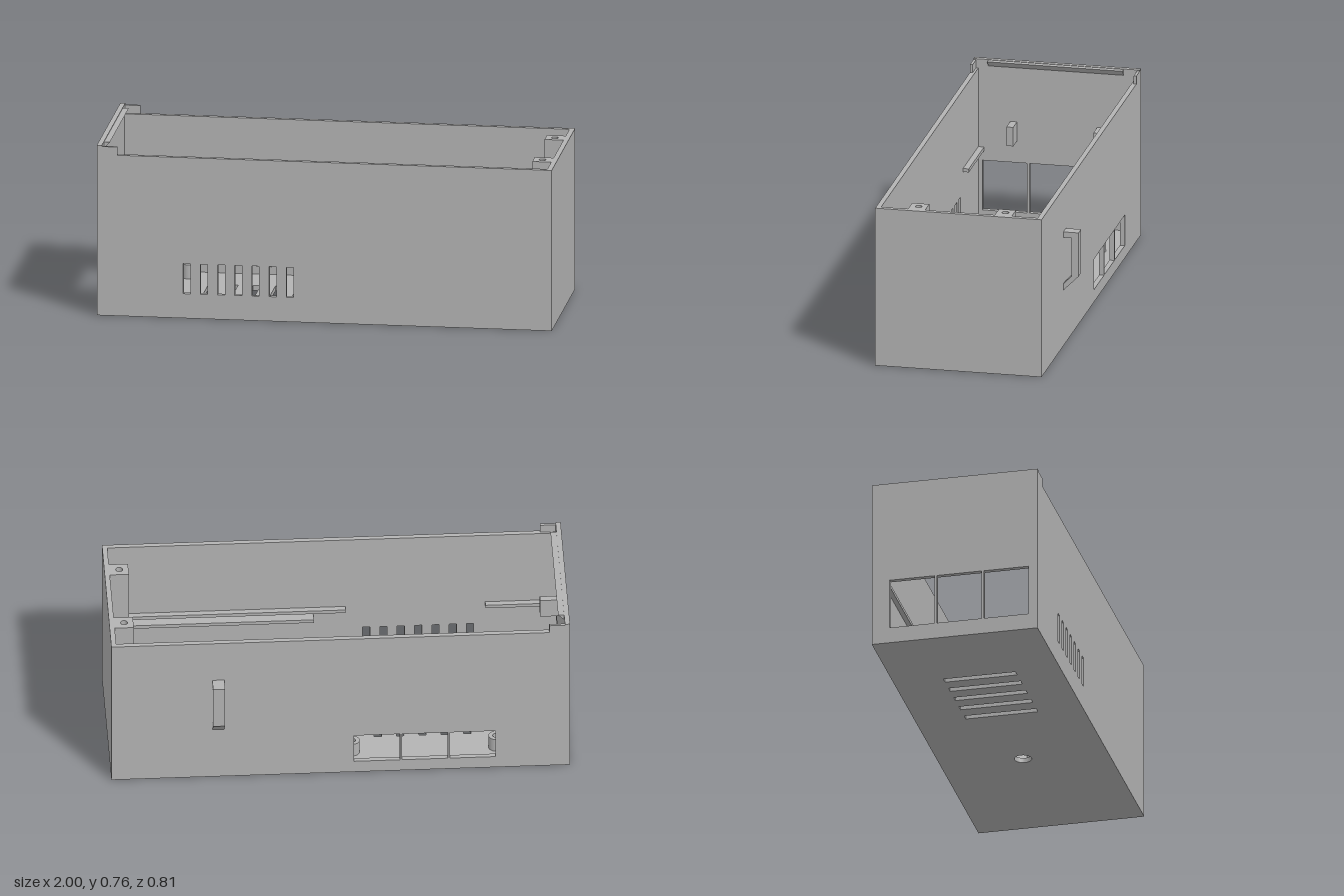
import * as THREE from 'three';

const T = 0.022;                       // wall thickness
const H = 0.722;                       // wall height
const ZB = -0.337, ZF = 0.405;         // back and front outer faces

export function createModel() {
  const group = new THREE.Group();
  const grey = new THREE.MeshStandardMaterial({ color: 0xb3b3b3 });
  grey.name = 'plain grey';

  const add = (name, geometry) => {
    const mesh = new THREE.Mesh(geometry, grey);
    mesh.name = name;
    group.add(mesh);
    return mesh;
  };
  const box = (name, x0, x1, y0, y1, z0, z1) =>
    add(name, new THREE.BoxGeometry(x1 - x0, y1 - y0, z1 - z0)
      .translate((x0 + x1) / 2, (y0 + y1) / 2, (z0 + z1) / 2));
  const poly = (pts) => new THREE.Shape(pts.map(([x, y]) => new THREE.Vector2(x, y)));
  const corners = (x0, x1, y0, y1) => [[x0, y0], [x1, y0], [x1, y1], [x0, y1]];
  const rect = (...r) => poly(corners(...r));
  const ring = (cx, cy, r) => new THREE.Path().absarc(cx, cy, r, 0, Math.PI * 2, false);
  const extrude = (shape, depth) =>
    new THREE.ExtrudeGeometry(shape, { depth, bevelEnabled: false, curveSegments: 24 });
  // Shape in x,y starting at z
  const alongZ = (shape, z, depth) => extrude(shape, depth).translate(0, 0, z);
  // Shape in z,y ending at x
  const alongX = (shape, x, depth) => extrude(shape, depth).rotateY(-Math.PI / 2).translate(x, 0, 0);
  // Shape in x,z with its top at y
  const alongY = (shape, y, depth) => extrude(shape, depth).rotateX(Math.PI / 2).translate(0, y, 0);

  // Floor with vent slots and a round mounting hole
  const BX = 0.3, BZ = 0.03;
  const floor = rect(-1, 1, ZB, ZF);
  for (let i = 0; i < 5; i++) {
    const x = -0.564 + i * 0.0975;
    floor.holes.push(rect(x - 0.016, x + 0.016, -0.117, 0.206));
  }
  floor.holes.push(ring(BX, BZ, 0.038));
  add('floor', alongY(floor, T, T));

  // Front wall with a row of vent slots
  const front = rect(-1, 1, T, H);
  for (let i = 0; i < 7; i++) {
    const x = -0.604 + i * 0.0755;
    front.holes.push(rect(x - 0.016, x + 0.016, 0.11, 0.245));
  }
  add('frontWall', alongZ(front, ZF - T, T));

  // Back wall with three connector windows
  const back = rect(-1, 1, T, H);
  for (let i = 0; i < 3; i++) {
    const x = -0.676 + i * 0.209;
    back.holes.push(rect(x, x + 0.2, 0.057, 0.197));
  }
  add('backWall', alongZ(back, ZB, T));

  // Plain end and windowed end
  box('leftEndWall', 1 - T, 1, T, H, ZB + T, ZF - T);
  const end = rect(ZB + T, ZF - T, T, H);
  for (let i = 0; i < 3; i++) {
    const z = -0.257 + i * 0.211;
    end.holes.push(rect(z, z + 0.2, 0.072, 0.3));
  }
  add('rightEndWall', alongX(end, -1 + T, T));

  // Raised rim on the windowed end, with a sloped catch and corner tabs
  box('endRim', -1, -1 + T, H, 0.764, ZB, ZF);
  add('endCatch', alongZ(poly([[-1 + T, 0.735], [-0.952, 0.762], [-1 + T, 0.762]]), -0.265, 0.603));
  for (const z of [ZB, ZF - 0.012])
    box('cornerTab', -1 + T, -0.91, H, 0.759, z, z + 0.012);

  // Card rails along the inside of the long walls
  const rail = (x0, x1, y, depth, isFront) => {
    const z = isFront ? ZF - T : ZB + T;
    box('cardRail', x0, x1, y, y + 0.016, isFront ? z - depth : z, isFront ? z : z + depth);
  };
  rail(-1 + T, 1 - T, 0.345, 0.021, false);
  rail(-1 + T, -0.67, 0.345, 0.026, true);
  rail(-0.06, 1 - T, 0.345, 0.026, true);
  for (const isFront of [false, true]) rail(0.08, 1 - T, 0.31, isFront ? 0.043 : 0.036, isFront);

  // Screw posts on one end, small stops on the other
  for (const z of [-0.162, 0.225]) {
    box('screwPost', 0.895, 1 - T, T, 0.6, z - 0.038, z + 0.038);
    const top = rect(0.895, 1 - T, z - 0.038, z + 0.038);
    top.holes.push(ring(0.935, z, 0.015));
    add('screwPostTop', alongY(top, H, H - 0.6));
    box('cardStop', -1 + T, -0.9, 0.4, 0.487, z - 0.015, z + 0.015);
  }

  // Board standoffs
  for (const x of [-0.682, -0.058]) for (const z of [-0.22, 0.307]) {
    const standoff = new THREE.Shape().absarc(x, z, 0.031, 0, Math.PI * 2, false);
    standoff.holes.push(ring(x, z, 0.013));
    add('standoff', alongY(standoff, 0.085, 0.085 - T));
  }

  // Round boss with a hexagonal nut pocket
  const boss = new THREE.Shape().absarc(BX, BZ, 0.107, 0, Math.PI * 2, false);
  const hex = [];
  for (let i = 0; i < 6; i++)
    hex.push([BX + 0.073 * Math.cos(i * Math.PI / 3), BZ + 0.073 * Math.sin(i * Math.PI / 3)]);
  boss.holes.push(poly(hex));
  add('nutBoss', alongY(boss, 0.07, 0.07 - T));

  // Hook on the back
  const hook = poly([[ZB, 0.523], [-0.405, 0.523], [-0.405, 0.323], [ZB, 0.255],
    [ZB, 0.285], [-0.374, 0.323], [-0.374, 0.497], [ZB, 0.497]]);
  add('backHook', alongX(hook, 0.56, 0.052));

  return group;
}
